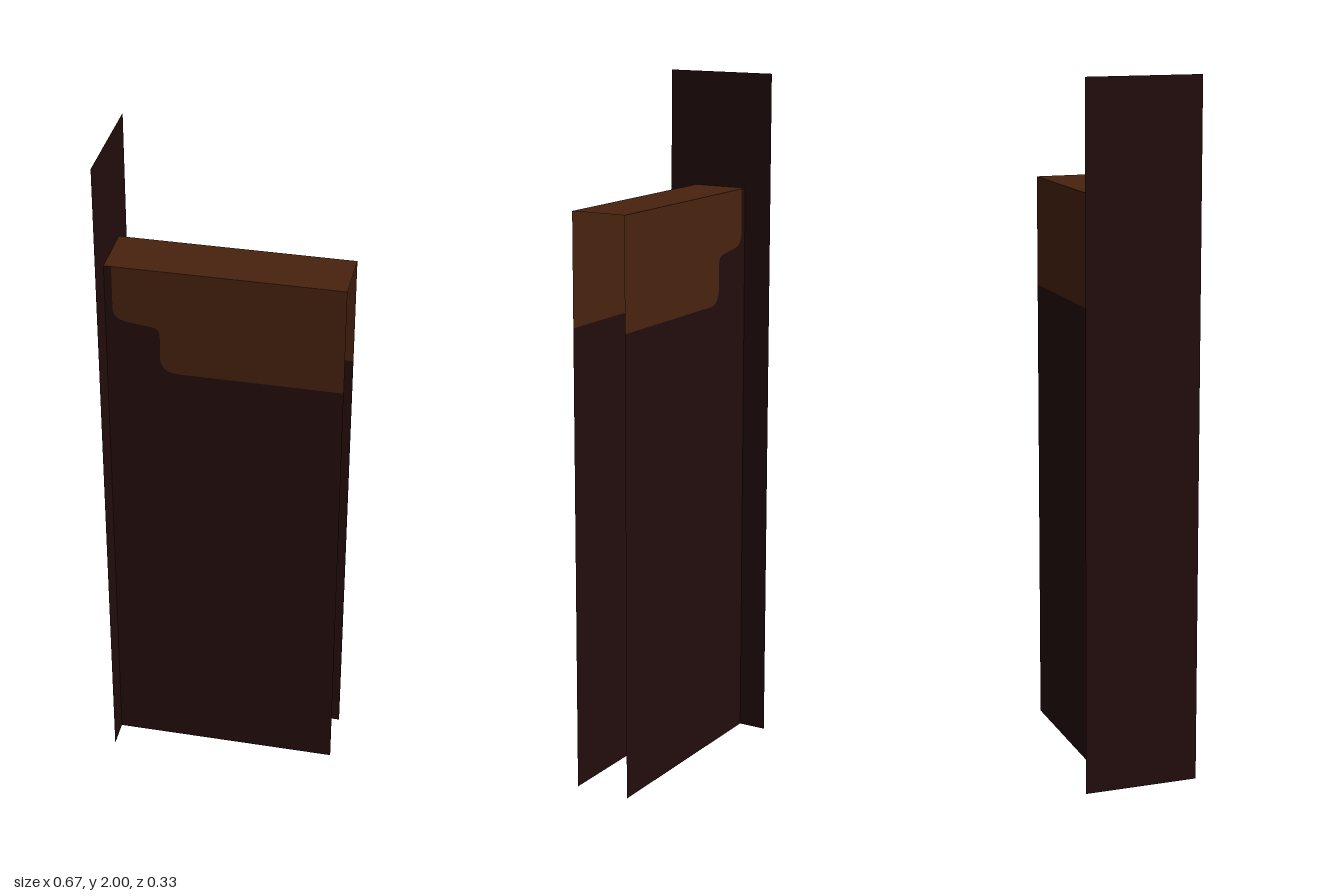
import * as THREE from 'three';

const W = 0.333;      // half width
const D = 0.083;      // half depth of the door slab
const H = 1.667;      // height of the door slab

export function createModel() {
  const dark = new THREE.MeshStandardMaterial({ color: 0x230d0d, side: THREE.DoubleSide });
  dark.name = 'dark wood';
  const brown = new THREE.MeshStandardMaterial({ color: 0x48220e, side: THREE.DoubleSide });
  brown.name = 'brown wood';

  const model = new THREE.Group();
  model.name = 'panel';
  const add = (parent, name, geometry, material) => {
    const mesh = new THREE.Mesh(geometry, material);
    mesh.name = name;
    parent.add(mesh);
    return mesh;
  };

  // Stepped, rounded border between the two colours, from top left to right edge
  const traceBorder = (shape) => {
    shape.lineTo(-0.312, H);
    shape.lineTo(-0.312, 1.535);
    shape.quadraticCurveTo(-0.312, 1.504, -0.275, 1.498);
    shape.lineTo(-0.2, 1.488);
    shape.quadraticCurveTo(-0.181, 1.485, -0.181, 1.46);
    shape.lineTo(-0.181, 1.39);
    shape.quadraticCurveTo(-0.179, 1.345, -0.13, 1.345);
    shape.lineTo(W, 1.345);
  };

  const upper = new THREE.Shape();
  upper.moveTo(W, H);
  traceBorder(upper);
  upper.closePath();

  const lower = new THREE.Shape();
  lower.moveTo(-W, 0);
  lower.lineTo(-W, H);
  traceBorder(lower);
  lower.lineTo(W, 0);
  lower.closePath();

  // Front and back sheets, open at the bottom and at the free end
  for (const [name, z] of [['front', D], ['back', -D]]) {
    const sheet = new THREE.Group();
    sheet.name = name + 'Sheet';
    sheet.position.z = z;
    add(sheet, name + 'UpperArea', new THREE.ShapeGeometry(upper, 8), brown);
    add(sheet, name + 'LowerArea', new THREE.ShapeGeometry(lower, 8), dark);
    model.add(sheet);
  }

  // Top sheet closing the slab
  const top = add(model, 'topSheet', new THREE.PlaneGeometry(2 * W, 2 * D), brown);
  top.rotation.x = -Math.PI / 2;
  top.position.y = H;

  // Tall, wider sheet across one end
  const end = add(model, 'endSheet', new THREE.PlaneGeometry(0.333, 2), dark);
  end.rotation.y = -Math.PI / 2;
  end.position.set(-W, 1, 0);

  return model;
}
